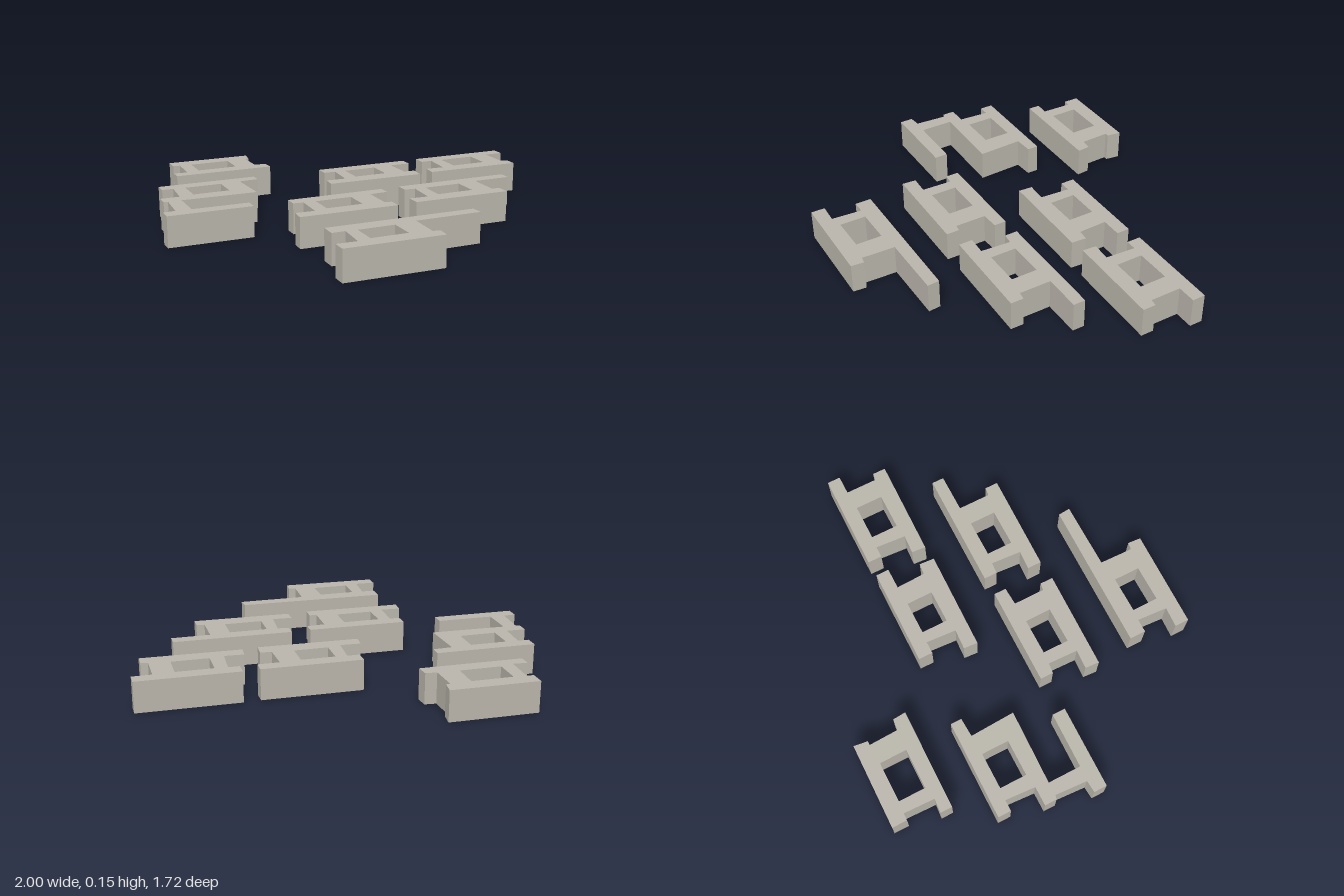
import * as THREE from 'three';

const HEIGHT = 0.15;

// Upright prism from a plan outline [x, z] with one rectangular opening [x0, x1, z0, z1]
function prism(name, outline, [x0, x1, z0, z1], material) {
  const plan = (pts) => pts.map(([x, z]) => new THREE.Vector2(x, -z));
  const shape = new THREE.Shape(plan(outline));
  shape.holes.push(new THREE.Path(plan([[x0, z0], [x0, z1], [x1, z1], [x1, z0]])));
  const geometry = new THREE.ExtrudeGeometry(shape, { depth: HEIGHT, bevelEnabled: false });
  geometry.rotateX(-Math.PI / 2);
  const mesh = new THREE.Mesh(geometry, material);
  mesh.name = name;
  return mesh;
}

export function createModel() {
  const group = new THREE.Group();
  group.name = 'buildingBlocks';
  const concrete = new THREE.MeshStandardMaterial({ color: 0xb9b5ab });
  concrete.name = 'concrete';
  const add = (name, outline, hole) => group.add(prism(name, outline, hole, concrete));

  // Rear left block
  add('rearLeftBlock', [
    [-0.72, -0.86], [-0.295, -0.855], [-0.305, -0.785], [-0.325, -0.785],
    [-0.32, -0.64], [-0.265, -0.635], [-0.26, -0.57], [-0.76, -0.575],
    [-0.76, -0.635], [-0.69, -0.63], [-0.685, -0.785], [-0.72, -0.785],
  ], [-0.625, -0.425, -0.78, -0.645]);

  // Block with an extra stem and foot bar
  add('footedBlock', [
    [-0.9, -0.41], [-0.41, -0.405], [-0.41, -0.35], [-0.505, -0.345],
    [-0.495, -0.12], [-0.865, -0.13], [-0.865, 0.035], [-0.59, 0.04],
    [-0.59, 0.105], [-1, 0.1], [-1, 0.035], [-0.94, 0.03],
    [-0.93, -0.13], [-0.95, -0.135], [-0.95, -0.195], [-0.855, -0.195],
    [-0.845, -0.345], [-0.9, -0.345],
  ], [-0.785, -0.605, -0.34, -0.205]);

  // Pair of blocks on the rear right
  add('rearMiddleBlock', [
    [-0.055, -0.395], [0.43, -0.39], [0.43, -0.325], [0.325, -0.325],
    [0.33, -0.18], [0.385, -0.175], [0.38, -0.1], [-0.11, -0.11],
    [-0.105, -0.18], [-0.005, -0.175], [0.005, -0.325], [-0.055, -0.325],
  ], [0.06, 0.225, -0.32, -0.19]);
  add('rearRightBlock', [
    [0.51, -0.395], [1, -0.39], [1, -0.325], [0.905, -0.325],
    [0.905, -0.17], [0.94, -0.165], [0.94, -0.1], [0.455, -0.11],
    [0.46, -0.18], [0.555, -0.175], [0.565, -0.325], [0.51, -0.325],
  ], [0.625, 0.805, -0.32, -0.185]);

  // Middle row
  add('middleBlock', [
    [-0.41, 0.075], [0.075, 0.08], [0.075, 0.14], [-0.015, 0.145],
    [-0.015, 0.3], [0.02, 0.305], [0.02, 0.37], [-0.465, 0.36],
    [-0.46, 0.29], [-0.365, 0.295], [-0.36, 0.145], [-0.41, 0.14],
  ], [-0.3, -0.12, 0.15, 0.28]);
  add('longBarBlock', [
    [0.17, 0.075], [0.755, 0.08], [0.755, 0.14], [0.565, 0.14],
    [0.565, 0.3], [0.605, 0.305], [0.605, 0.37], [0.12, 0.36],
    [0.12, 0.29], [0.215, 0.295], [0.225, 0.145], [0.17, 0.14],
  ], [0.28, 0.465, 0.15, 0.28]);

  // Front block with the longest bar
  add('frontBlock', [
    [-0.43, 0.555], [0.305, 0.565], [0.31, 0.625], [-0.02, 0.625],
    [-0.025, 0.79], [0.01, 0.795], [0.005, 0.86], [-0.475, 0.85],
    [-0.475, 0.78], [-0.375, 0.785], [-0.365, 0.635], [-0.43, 0.635],
  ], [-0.31, -0.13, 0.64, 0.77]);

  return group;
}
